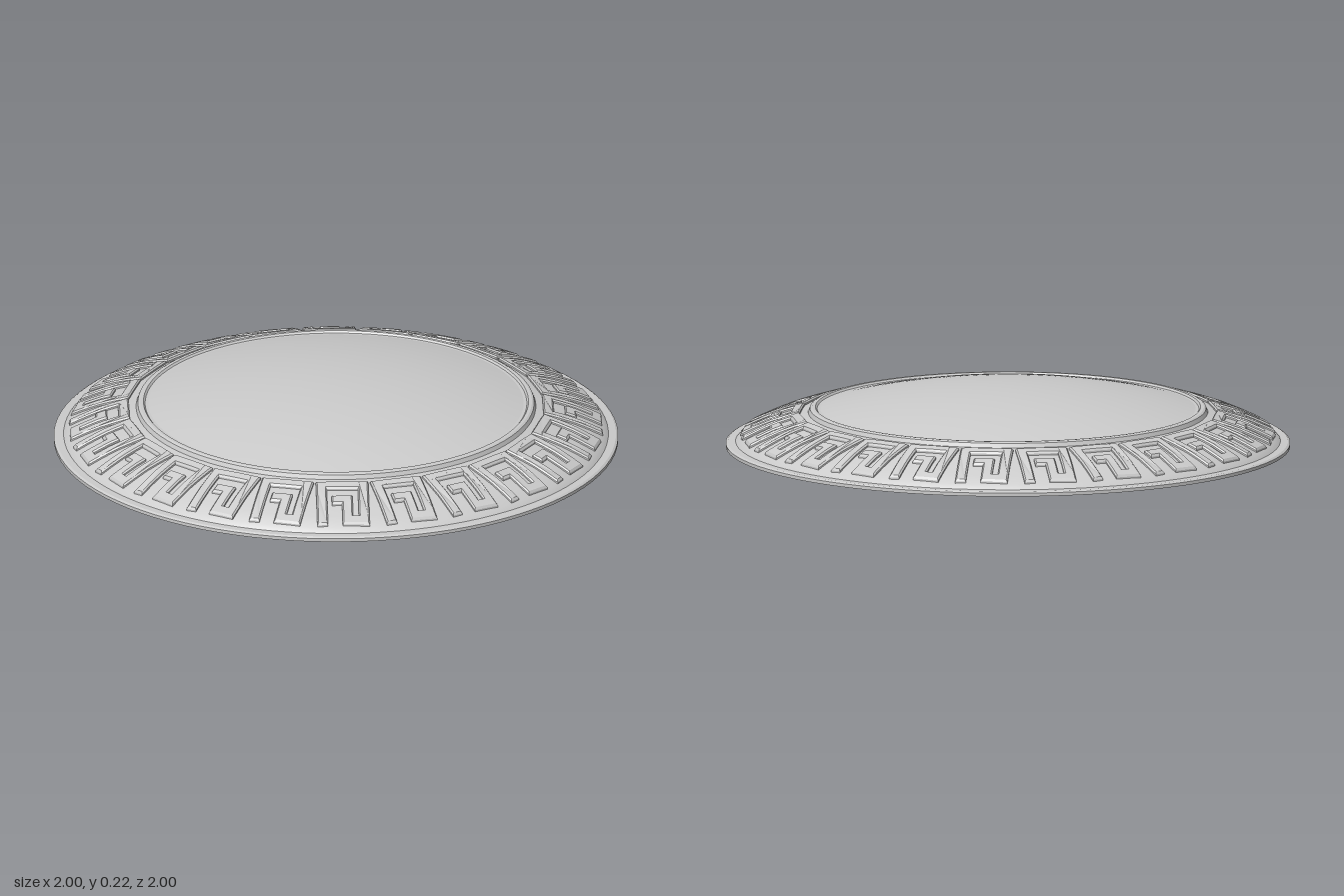
import * as THREE from 'three';
import { toCreasedNormals } from 'three/addons/utils/BufferGeometryUtils.js';

const KEYS = 24;
const DOME_R = 0.665, DOME_BASE = 0.134, DOME_TOP = 0.215;

// Cross-section of the sloping border: [radius, height]
const border = [
  [0.965, 0.018], [0.95, 0.034], [0.9, 0.058], [0.85, 0.08], [0.8, 0.097], [0.75, 0.112], [0.708, 0.122],
];

function borderHeight(r) {
  for (let i = 0; i < border.length - 1; i++) {
    const [r0, y0] = border[i], [r1, y1] = border[i + 1];
    if (r >= r1) return y0 + (y1 - y0) * (r0 - r) / (r0 - r1);
  }
  return border[border.length - 1][1];
}

// Splits long outline edges so the key can follow the curved border
function densify(points, step) {
  const out = [];
  points.forEach(([x, y], i) => {
    const [x2, y2] = points[(i + 1) % points.length];
    const n = Math.ceil(Math.hypot(x2 - x, y2 - y) / step);
    for (let k = 0; k < n; k++) {
      out.push(new THREE.Vector2(x + (x2 - x) * k / n, y + (y2 - y) * k / n));
    }
  });
  return out;
}

// One raised meander key: [sideways, radius], laid on the border facing +z
function keyGeometry() {
  const outline = [
    [-0.088, 0.938], [-0.088, 0.738], [0.088, 0.738], [0.088, 0.938], [0.002, 0.938],
    [0.002, 0.846], [-0.034, 0.846], [-0.034, 0.816], [0.03, 0.816], [0.03, 0.91],
    [0.06, 0.91], [0.06, 0.766], [-0.06, 0.766], [-0.06, 0.938],
  ].map(([u, r]) => [u, -r]);
  const geometry = new THREE.ExtrudeGeometry(new THREE.Shape(densify(outline, 0.035)), {
    depth: 0.012, bevelEnabled: true, bevelThickness: 0.006, bevelSize: 0.005, bevelSegments: 1,
  });
  const p = geometry.attributes.position;
  for (let i = 0; i < p.count; i++) {
    const x = p.getX(i), z = -p.getY(i), h = p.getZ(i) - 0.006;
    p.setXYZ(i, x, borderHeight(Math.hypot(x, z)) + h, z);
  }
  return toCreasedNormals(geometry, 0.5);
}

export function createModel() {
  const group = new THREE.Group();
  const material = new THREE.MeshStandardMaterial({ color: 0xcccccc });

  const addLathe = (name, profile, crease) => {
    const points = profile.map(([r, y]) => new THREE.Vector2(r, y));
    const mesh = new THREE.Mesh(toCreasedNormals(new THREE.LatheGeometry(points, 96), crease), material);
    mesh.name = name;
    group.add(mesh);
  };

  // Flat back, thin edge, sloping border and the raised inner ring
  addLathe('border', [
    [0, 0], [1, 0], [1, 0.012], [0.992, 0.017], ...border,
    [0.702, 0.137], [0.694, 0.141], [0.682, 0.141], [0.676, 0.134], [DOME_R, DOME_BASE],
  ], 0.4);

  // Shallow spherical centre
  const rise = DOME_TOP - DOME_BASE;
  const radius = (DOME_R ** 2 + rise ** 2) / (2 * rise);
  const dome = [];
  for (let i = 0; i <= 16; i++) {
    const r = DOME_R * (1 - i / 16);
    dome.push([r, DOME_TOP - radius + Math.sqrt(radius ** 2 - r ** 2)]);
  }
  addLathe('dome', dome, 0.6);

  // Ring of meander keys
  const keys = new THREE.Group();
  keys.name = 'meanderKeys';
  const geometry = keyGeometry();
  for (let i = 0; i < KEYS; i++) {
    const key = new THREE.Mesh(geometry, material);
    key.name = 'meanderKey';
    key.rotation.y = (i + 0.5) * Math.PI * 2 / KEYS;
    keys.add(key);
  }
  group.add(keys);
  return group;
}
